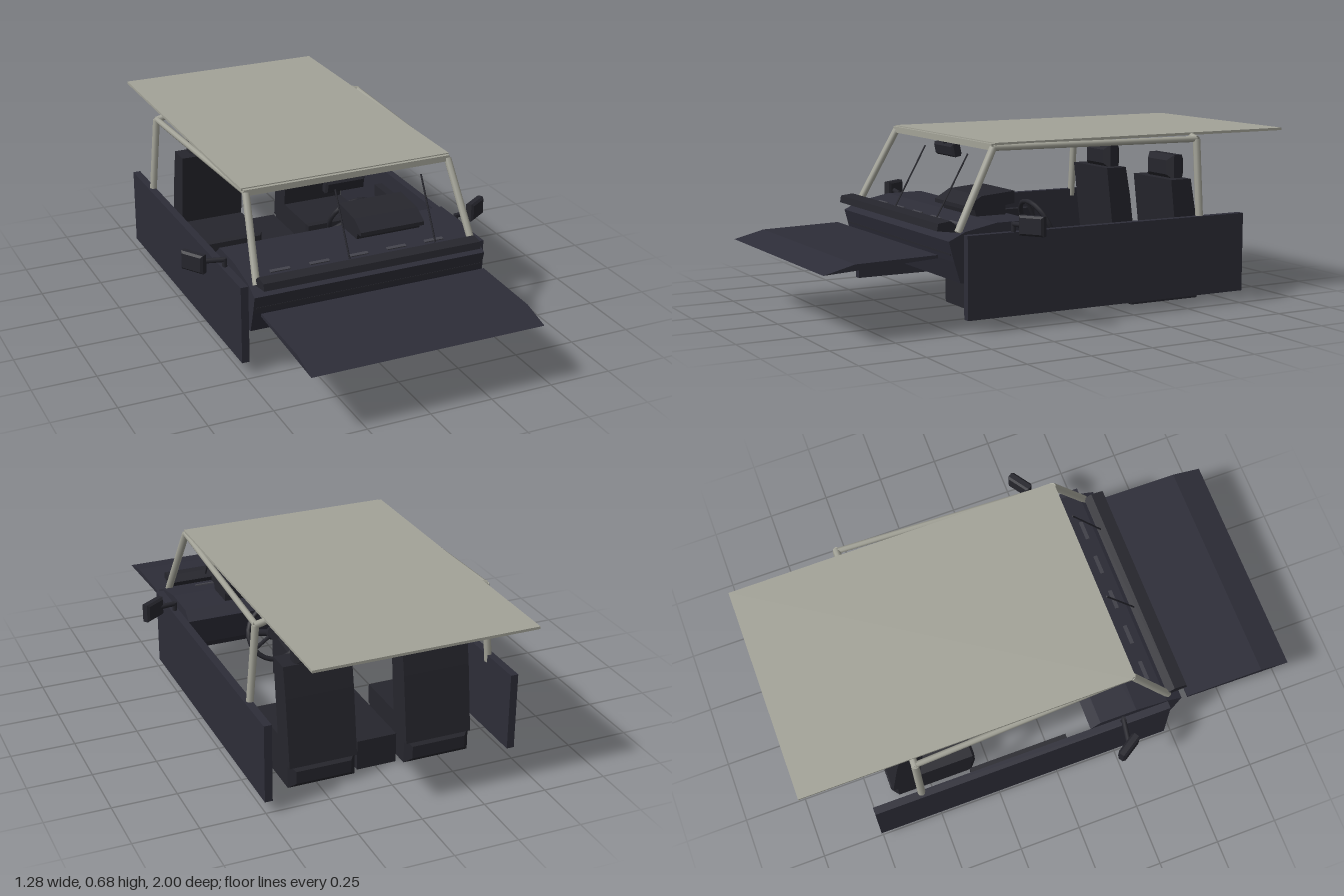
import * as THREE from 'three';

const mat = (name, color) => {
  const m = new THREE.MeshStandardMaterial({ color });
  m.name = name;
  return m;
};

export function createModel() {
  const root = new THREE.Group();
  const body = mat('dark body', 0x2d2d38);
  const trim = mat('dark trim', 0x26262d);
  const frame = mat('warm grey', 0xa3a398);
  const vent = mat('mid grey', 0x44444c);
  const light = mat('light grey', 0xb8b8b8);

  const add = (name, geo, material, parent = root) => {
    const m = new THREE.Mesh(geo, material);
    m.name = name;
    parent.add(m);
    return m;
  };
  const box = (name, w, h, d, x, y, z, material, parent) => {
    const m = add(name, new THREE.BoxGeometry(w, h, d), material, parent);
    m.position.set(x, y, z);
    return m;
  };
  // Extrude a (z, y) outline across x from x0 to x1
  const profile = (name, pts, x0, x1, material, parent) => {
    const shape = new THREE.Shape(pts.map(p => new THREE.Vector2(p[0], p[1])));
    const g = new THREE.ExtrudeGeometry(shape, { depth: x1 - x0, bevelEnabled: false });
    g.rotateY(-Math.PI / 2).translate(x1, 0, 0);
    return add(name, g, material, parent);
  };
  // Box with all edges chamfered by c
  const chamferBox = (name, w, h, d, c, x, y, z, material, parent) => {
    const a = w / 2 - c, b = h / 2 - c;
    const shape = new THREE.Shape([[-a, -b], [a, -b], [a, b], [-a, b]].map(p => new THREE.Vector2(...p)));
    const g = new THREE.ExtrudeGeometry(shape, {
      depth: d - 2 * c, bevelThickness: c, bevelSize: c, bevelSegments: 1
    });
    g.translate(0, 0, -d / 2 + c);
    const m = add(name, g, material, parent);
    m.position.set(x, y, z);
    return m;
  };
  // Straight bar between two points
  const bar = (name, p, q, r, material, sides = 8, parent = root) => {
    const a = new THREE.Vector3(...p), b = new THREE.Vector3(...q);
    const dir = b.clone().sub(a);
    const m = add(name, new THREE.CylinderGeometry(r, r, dir.length(), sides), material, parent);
    m.position.copy(a).add(b).multiplyScalar(0.5);
    m.quaternion.setFromUnitVectors(new THREE.Vector3(0, 1, 0), dir.normalize());
    return m;
  };

  // Roof and bonnet panels
  box('roof', 0.86, 0.01, 1.31, -0.005, 0.675, -0.345, frame);
  profile('bonnet', [[1, 0.255], [0.88, 0.285], [0.56, 0.292], [0.56, 0.28]], -0.465, 0.455, body);

  // Dashboard, cowl and centre tunnel
  profile('dashboard', [
    [0.525, 0.34], [0.505, 0.265], [0.48, 0.185], [0.40, 0.18], [0.22, 0.2],
    [0.16, 0.25], [0.14, 0.36], [0.18, 0.395], [0.33, 0.395], [0.46, 0.37]
  ], -0.475, 0.475, body);
  profile('cowl', [[0.555, 0.375], [0.48, 0.365], [0.47, 0.385], [0.5, 0.408], [0.55, 0.402]], -0.45, 0.44, trim);
  box('cowlSeam', 0.93, 0.006, 0.006, 0, 0.29, 0.511, trim);
  profile('tunnel', [[0.26, 0], [0.26, 0.19], [0.1, 0.17], [-0.2, 0.12], [-0.6, 0.12], [-0.6, 0]], -0.085, 0.075, trim);
  profile('instrumentHood', [[0.36, 0.42], [0.36, 0.435], [0.3, 0.47], [0.16, 0.482], [0.16, 0.435], [0.2, 0.43], [0.2, 0.385], [0.32, 0.385], [0.33, 0.42]], 0.03, 0.3, trim);
  for (let i = 0; i < 5; i++) {
    const v = box('dashVent', 0.08, 0.004, 0.015, -0.33 + i * 0.16, 0.381, 0.42, vent);
    v.rotation.x = 0.19;
  }
  for (let i = 0; i < 4; i++) {
    const k = add('dashKnob', new THREE.CylinderGeometry(0.009, 0.009, 0.012, 8), light);
    k.rotation.x = Math.PI / 2;
    k.position.set(-0.25 + i * 0.06, 0.29, 0.148);
  }

  // Steering wheel, facing the driver
  const wheel = new THREE.Group();
  wheel.name = 'steeringWheel';
  wheel.position.set(0.175, 0.325, -0.01);
  wheel.rotation.x = 0.45;
  add('wheelRim', new THREE.TorusGeometry(0.105, 0.01, 6, 24), trim, wheel);
  const hub = add('wheelHub', new THREE.CylinderGeometry(0.028, 0.028, 0.025, 12), trim, wheel);
  hub.rotation.x = Math.PI / 2;
  for (let i = 0; i < 3; i++) {
    const a = Math.PI / 6 + i * Math.PI * 2 / 3 + Math.PI;
    bar('wheelSpoke', [0, 0, 0], [Math.cos(a) * 0.105, Math.sin(a) * 0.105, 0], 0.008, trim, 6, wheel);
  }
  root.add(wheel);
  bar('steeringColumn', [0.175, 0.325, -0.01], [0.175, 0.24, 0.18], 0.014, trim);

  // Gear lever
  bar('gearLever', [-0.005, 0.14, 0.05], [-0.005, 0.28, 0.01], 0.007, trim, 6);
  add('gearKnob', new THREE.SphereGeometry(0.016, 8, 6), trim).position.set(-0.005, 0.285, 0.01);

  for (const s of [-1, 1]) {
    // Doors with armrests
    box('door', 0.03, 0.31, 1.22, s * 0.49, 0.205, -0.145, body);
    box('armrest', 0.035, 0.05, 0.4, s * 0.458, 0.27, -0.15, trim);
    box('doorPocket', 0.025, 0.08, 0.35, s * 0.463, 0.13, -0.15, trim);

    // Seat
    const seat = new THREE.Group();
    seat.name = 'seat';
    const x = s * 0.235;
    chamferBox('seatBase', 0.268, 0.1, 0.36, 0.025, x, 0.06, -0.48, trim, seat);
    chamferBox('cushion', 0.268, 0.08, 0.33, 0.01, x, 0.147, -0.47, trim, seat);
    profile('backrest', [[-0.55, 0.1], [-0.505, 0.49], [-0.598, 0.49], [-0.62, 0.37], [-0.655, 0.1]],
      x - 0.134, x + 0.134, trim, seat);
    chamferBox('headrest', 0.175, 0.1, 0.08, 0.022, x, 0.532, -0.568, trim, seat);
    root.add(seat);

    // Windscreen pillar, roof rail and rear hoop
    bar('windscreenPillar', [s * 0.447, 0.365, 0.475], [s * 0.418, 0.662, 0.315], 0.015, frame);
    bar('roofRail', [s * 0.418, 0.662, 0.315], [s * 0.455, 0.657, -0.56], 0.012, frame);
    bar('rearPillar', [s * 0.485, 0.33, -0.56], [s * 0.457, 0.657, -0.56], 0.015, frame);
    bar('rearPillarTop', [s * 0.46, 0.655, -0.56], [s * 0.42, 0.665, -0.56], 0.014, frame);

    // Wing mirror, each turned towards the driver
    const mx = s > 0 ? 0.588 : -0.603;
    const head = chamferBox('wingMirror', 0.1, 0.074, 0.036, 0.008, mx, 0.392, 0.246, trim);
    head.rotation.y = s > 0 ? 0.6 : -1.0;
    bar('mirrorArm', [s * 0.49, 0.388, 0.27], [mx, 0.392, 0.25], 0.01, trim);
    bar('mirrorMount', [s * 0.49, 0.35, 0.27], [s * 0.49, 0.395, 0.27], 0.01, trim);
  }

  // Windscreen header, wipers and inner mirror
  box('windscreenHeader', 0.85, 0.024, 0.024, -0.003, 0.664, 0.312, frame);
  for (const x of [-0.075, 0.285]) {
    bar('wiper', [x, 0.4, 0.48], [x, 0.63, 0.35], 0.0035, trim, 6);
  }
  const mirror = chamferBox('innerMirror', 0.16, 0.05, 0.04, 0.008, -0.01, 0.62, 0.285, trim);
  mirror.rotation.x = 0.2;
  bar('innerMirrorStem', [-0.005, 0.63, 0.29], [-0.005, 0.66, 0.308], 0.007, trim, 6);

  return root;
}
